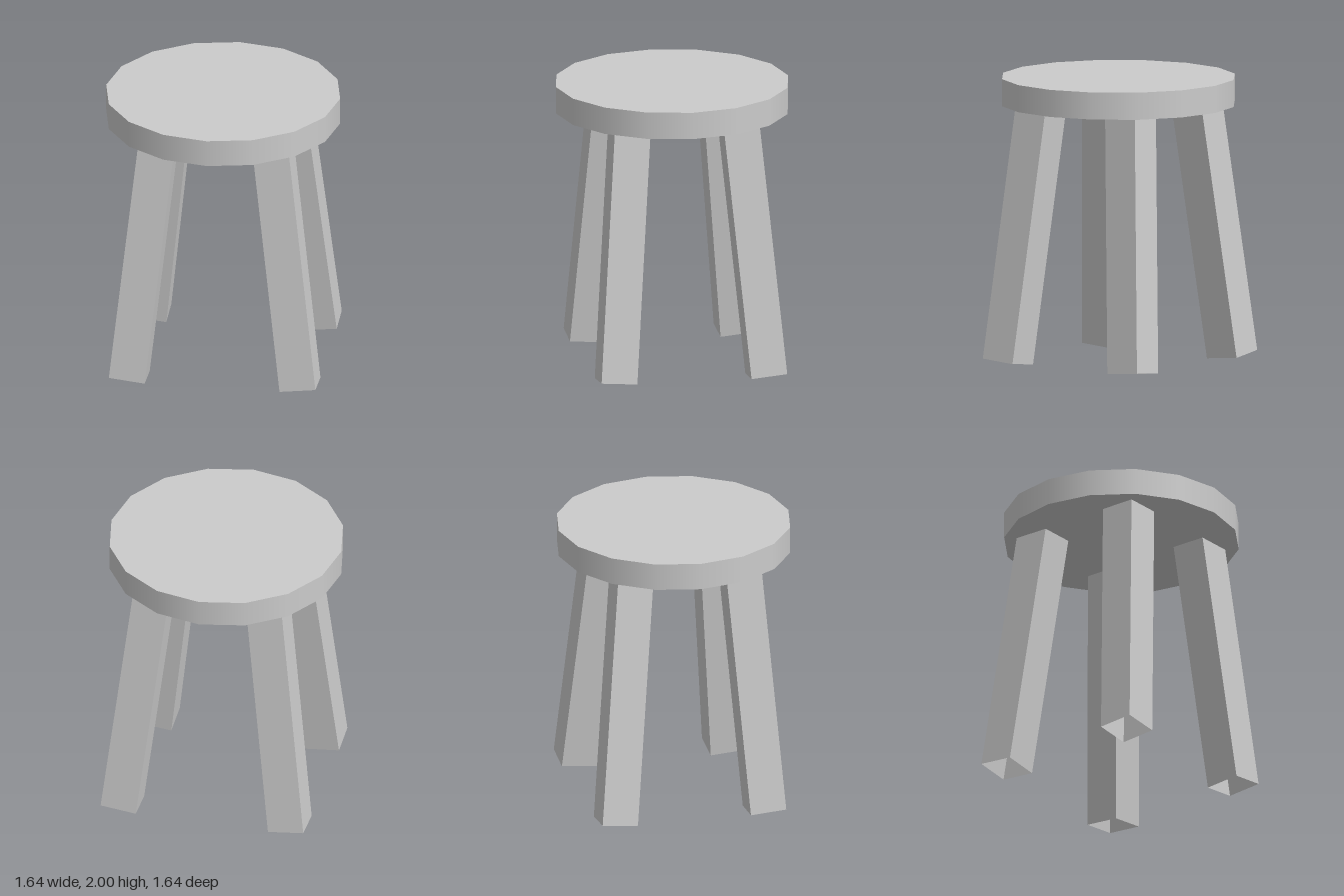
import * as THREE from 'three';

const SEAT_RADIUS = 0.82, SEAT_BOTTOM = 1.81, SEAT_TOP = 2;
const LEG_WIDTH = 0.253, LEG_LENGTH = 1.83;

// Foot centre and lean towards the middle of each leg
const LEGS = [
  { name: 'frontLeftLeg', x: 0.61, z: 0.508, leanX: 0.117, leanZ: 0.075 },
  { name: 'frontRightLeg', x: -0.587, z: 0.508, leanX: 0.107, leanZ: 0.075 },
  { name: 'backLeftLeg', x: 0.61, z: -0.553, leanX: 0.112, leanZ: 0.09 },
  { name: 'backRightLeg', x: -0.585, z: -0.553, leanX: 0.11, leanZ: 0.09 },
];

export function createModel() {
  const model = new THREE.Group();
  model.name = 'stool';

  // Seat: a thick sixteen-sided disc with smooth sides
  const height = SEAT_TOP - SEAT_BOTTOM;
  const seat = new THREE.Mesh(
    new THREE.CylinderGeometry(SEAT_RADIUS, SEAT_RADIUS, height, 16),
    new THREE.MeshStandardMaterial({ color: 0xcccccc }),
  );
  seat.name = 'seat';
  seat.position.y = SEAT_BOTTOM + height / 2;
  model.add(seat);

  // Legs: square tubes, open at the ends, splayed outwards
  const legMaterial = new THREE.MeshStandardMaterial({
    color: 0xcccccc, flatShading: true, side: THREE.DoubleSide,
  });
  const r = LEG_WIDTH / Math.SQRT2;
  const legGeometry = new THREE.CylinderGeometry(r, r, LEG_LENGTH, 4, 1, true)
    .rotateY(Math.PI / 4)
    .translate(0, LEG_LENGTH / 2, 0)
    .toNonIndexed();
  legGeometry.computeVertexNormals();

  for (const { name, x, z, leanX, leanZ } of LEGS) {
    const leg = new THREE.Mesh(legGeometry, legMaterial);
    leg.name = name;
    leg.position.set(x, 0.03, z);
    leg.rotation.set(-Math.sign(z) * leanZ, 0, Math.sign(x) * leanX);
    model.add(leg);
  }
  return model;
}
